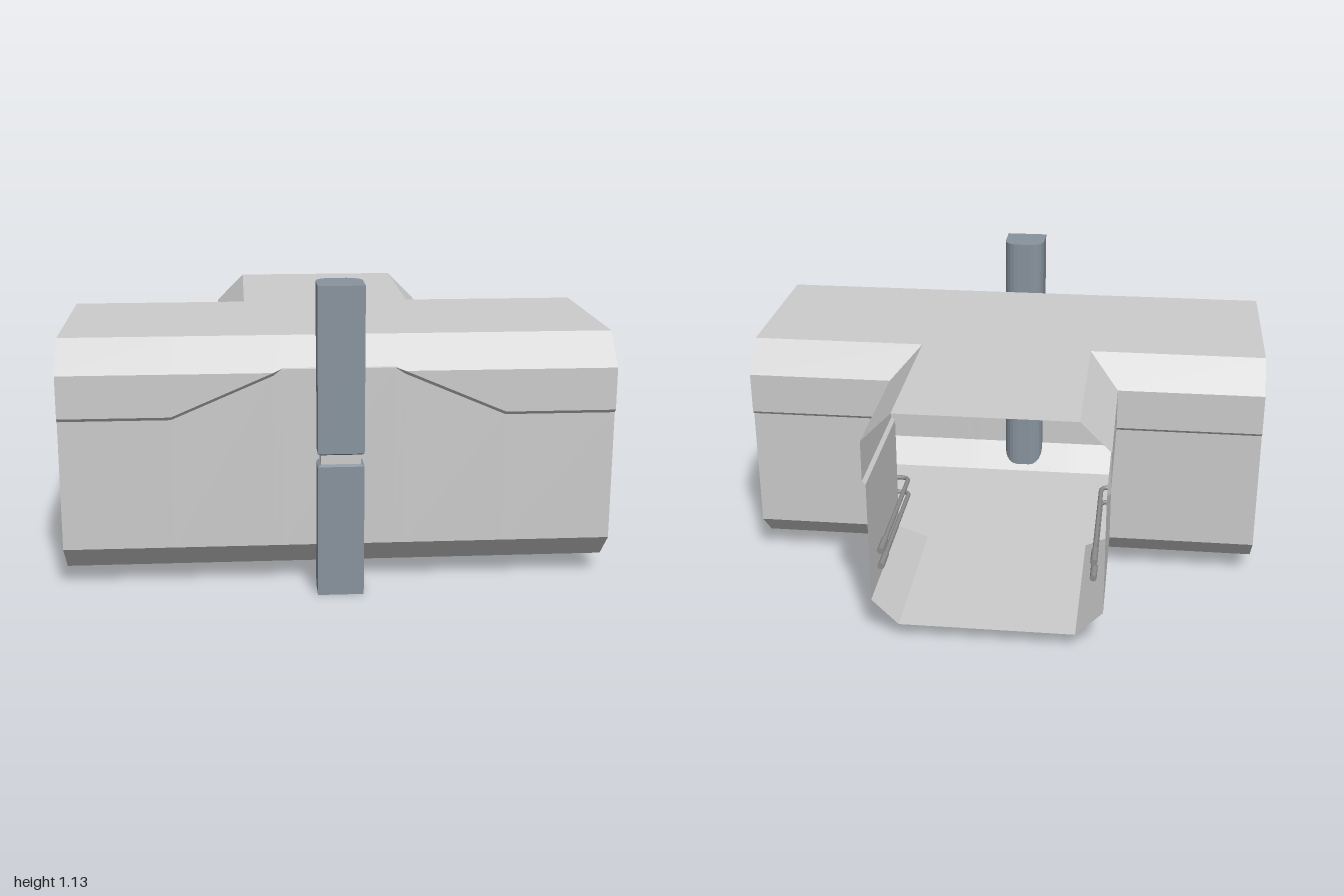
import * as THREE from 'three';

const shell = new THREE.MeshStandardMaterial({ color: 0xcccccc, flatShading: true, side: THREE.DoubleSide });
const steel = new THREE.MeshStandardMaterial({ color: 0x88939e, flatShading: true });
const pale = new THREE.MeshStandardMaterial({ color: 0xd5d0e0 });
const pipeMat = new THREE.MeshStandardMaterial({ color: 0x8c8c8c });

function add(parent, name, geometry, material) {
  const mesh = new THREE.Mesh(geometry, material);
  mesh.name = name;
  parent.add(mesh);
  return mesh;
}

// Skin over rows of points: rows run upwards, points run left to right seen from outside
function skin(rows) {
  const pos = [];
  for (let i = 0; i < rows.length - 1; i++) {
    for (let j = 0; j < rows[i].length - 1; j++) {
      const a = rows[i][j], b = rows[i][j + 1], c = rows[i + 1][j + 1], d = rows[i + 1][j];
      pos.push(...a, ...b, ...c, ...a, ...c, ...d);
    }
  }
  const g = new THREE.BufferGeometry();
  g.setAttribute('position', new THREE.Float32BufferAttribute(pos, 3));
  g.computeVertexNormals();
  return g;
}

// Flat horizontal plate from [x, z] points, facing up or down
function plate(points, y, up) {
  const s = up ? -1 : 1;
  const g = new THREE.ShapeGeometry(new THREE.Shape(points.map(([x, z]) => new THREE.Vector2(x, s * z))));
  g.rotateX(s * Math.PI / 2);
  return g.translate(0, y, 0);
}

const FLOOR = 0.063, ROOF = 0.925;

function buildCorridor(root) {
  const corridor = new THREE.Group();
  corridor.name = 'corridor';
  root.add(corridor);

  // T-shaped floor and roof
  const half = [[1, 0.57], [1, -0.092], [0.33, -0.092], [0.33, -0.76]];
  const outline = [...half, ...half.map(([x, z]) => [-x, z]).reverse()];
  add(corridor, 'floor', plate(outline, FLOOR, false), shell);
  add(corridor, 'roof', plate(outline, ROOF, true), shell);

  // Corner walls between the main run and the side arm: [height, inset]
  const profile = [[FLOOR, 0.1], [0.163, 0], [0.642, 0], [0.655, -0.013], [0.812, -0.013], [ROOF, 0.1]];
  for (const side of [1, -1]) {
    const rows = profile.map(([y, d]) => {
      const row = [[side, y, -0.192 + d], [side * (0.43 - d), y, -0.192 + d], [side * (0.43 - d), y, -0.76]];
      return side > 0 ? row : row.reverse();
    });
    add(corridor, side > 0 ? 'leftCornerWall' : 'rightCornerWall', skin(rows), shell);
  }

  // Front wall with a seam that climbs towards the post: [x, seam low, seam high, shoulder, shoulder z]
  const stations = [
    [1, 0.643, 0.656, 0.812, 0.683], [0.6, 0.643, 0.656, 0.812, 0.683],
    [0.235, 0.799, 0.812, 0.812, 0.683], [0.2, 0.822, 0.826, 0.826, 0.669],
  ];
  const columns = [...stations.map(([x, ...r]) => [-x, ...r]), ...stations.slice().reverse()];
  const rows = [
    columns.map(([x]) => [x, FLOOR, 0.57]),
    columns.map(([x]) => [x, 0.163, 0.67]),
    columns.map(([x, low]) => [x, low, 0.67]),
    columns.map(([x, , high, , z]) => [x, high, z]),
    columns.map(([x, , , shoulder, z]) => [x, shoulder, z]),
    columns.map(([x]) => [x, ROOF, 0.57]),
  ];
  add(corridor, 'frontWall', skin(rows), shell);
}

function buildPost(root) {
  const post = new THREE.Group();
  post.name = 'post';
  root.add(post);

  // Plan: square at the front, rounded at the back
  const w = 0.083, front = 0.758, back = 0.592, r = 0.055, mid = (front + back) / 2;
  const right = [[w, front]];
  for (let i = 0; i <= 5; i++) {
    const a = (i / 5) * Math.PI / 2;
    right.push([w - r + r * Math.cos(a), back + r - r * Math.sin(a)]);
  }
  const plan = [...right, ...right.map(([x, z]) => [-x, z]).reverse()];
  const ring = ([y, inset]) => [...plan, plan[0]].map(([x, z]) => {
    const k = 1 - inset / w;
    return [x * k, y, mid + (z - mid) * k];
  });

  add(post, 'postLower', skin([[0, 0], [0.484, 0], [0.491, 0.012]].map(ring)), steel);
  add(post, 'postNeck', skin([[0.491, 0.012], [0.525, 0.012]].map(ring)), shell);
  add(post, 'postUpper', skin([[0.525, 0.012], [0.532, 0], [1.133, 0]].map(ring)), steel);
  add(post, 'postTop', plate(plan, 1.133, true), steel);
  add(post, 'postBottom', plate(plan, 0, false), steel);

  // Stack of slats on the inner side
  for (let i = 0; i < 5; i++) {
    const slat = add(post, 'slat', new THREE.BoxGeometry(0.26, 0.038, 0.05), pale);
    slat.position.set(0, 0.632 + i * 0.0425, 0.616);
  }
}

// Pipe along a curve, with a thicker coupling at each end
function buildPipe(parent, name, curve, segments) {
  const pipe = new THREE.Group();
  pipe.name = name;
  parent.add(pipe);
  add(pipe, 'tube', new THREE.TubeGeometry(curve, segments, 0.009, 10), pipeMat);
  for (const t of [0, 1]) {
    const dir = curve.getTangentAt(t).multiplyScalar(t ? -1 : 1);
    const coupling = add(pipe, 'coupling', new THREE.CylinderGeometry(0.0125, 0.0125, 0.09, 12), pipeMat);
    coupling.position.copy(curve.getPointAt(t)).addScaledVector(dir, 0.045);
    coupling.quaternion.setFromUnitVectors(new THREE.Vector3(0, 1, 0), dir);
  }
}

function buildPipes(root) {
  const pipes = new THREE.Group();
  pipes.name = 'pipes';
  root.add(pipes);
  for (const y of [0.302, 0.367]) {
    const v = (x, z) => new THREE.Vector3(x, y, z);
    buildPipe(pipes, 'frontPipe', new THREE.LineCurve3(v(-0.99, 0.639), v(0.99, 0.639)), 1);
    // Pipes that turn the corner into the side arm
    for (const s of [1, -1]) {
      const path = new THREE.CurvePath();
      path.add(new THREE.LineCurve3(v(s * 0.99, -0.153), v(s * 0.42, -0.153)));
      path.add(new THREE.QuadraticBezierCurve3(v(s * 0.42, -0.153), v(s * 0.39, -0.153), v(s * 0.39, -0.183)));
      path.add(new THREE.LineCurve3(v(s * 0.39, -0.183), v(s * 0.39, -0.75)));
      buildPipe(pipes, 'cornerPipe', path, 80);
    }
  }
}

export function createModel() {
  const root = new THREE.Group();
  root.name = 'corridorJunction';
  buildCorridor(root);
  buildPost(root);
  buildPipes(root);
  return root;
}
